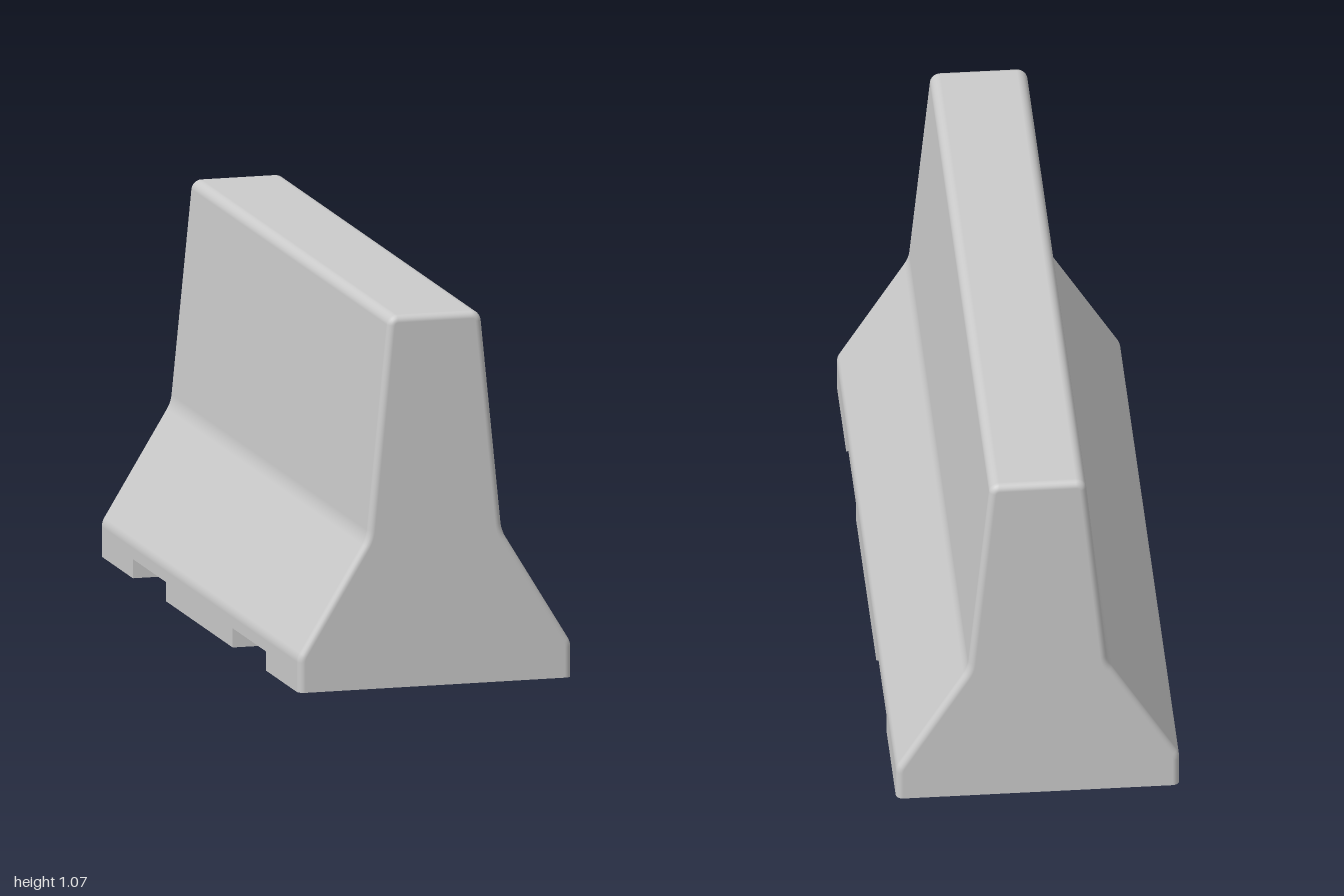
import * as THREE from 'three';

const END_RADIUS = 0.02, SLOT_HEIGHT = 0.055;

// Half outline from the foot up to the top centre: [x, y, corner radius]
const corners = [[0.4, 0, 0], [0.4, 0.1, 0.05], [0.198, 0.432, 0.1], [0.135, 1.067, 0.03], [0, 1.067, 0]];

// Full outline, counter-clockwise, with filleted corners and outward normals
function outline() {
  const half = [{ x: 0.4, y: 0, nx: 1, ny: 0 }];
  const normalAngle = (a, b) => Math.atan2(a[0] - b[0], b[1] - a[1]);
  for (let i = 1; i < corners.length - 1; i++) {
    const [x, y, r] = corners[i];
    const a1 = normalAngle(corners[i - 1], corners[i]);
    const a2 = normalAngle(corners[i], corners[i + 1]);
    const s = r * Math.sign(a2 - a1), mid = (a1 + a2) / 2, k = s / Math.cos((a2 - a1) / 2);
    const cx = x - Math.cos(mid) * k, cy = y - Math.sin(mid) * k;
    for (let j = 0; j <= 6; j++) {
      const a = a1 + (a2 - a1) * j / 6, nx = Math.cos(a), ny = Math.sin(a);
      half.push({ x: cx + s * nx, y: cy + s * ny, nx, ny });
    }
  }
  const mirrored = half.map(p => ({ ...p, x: -p.x, nx: -p.nx })).reverse();
  return [...half, ...mirrored];
}

// Cross-section stations along z: rounded ends and two slots under the base
function stations() {
  const list = [], steps = 5;
  const end = side => {
    for (let i = 0; i <= steps; i++) {
      const t = (side < 0 ? i - steps : i) / steps * Math.PI / 2;
      list.push({ z: side * (1 - END_RADIUS) + END_RADIUS * Math.sin(t), t, floor: 0 });
    }
  };
  end(-1);
  for (const [z0, z1] of [[-0.67, -0.335], [0.335, 0.67]]) {
    for (const [z, floor] of [[z0, 0], [z0, SLOT_HEIGHT], [z1, SLOT_HEIGHT], [z1, 0]]) {
      list.push({ z, t: 0, floor });
    }
  }
  end(1);
  return list;
}

function barrierGeometry() {
  const profile = outline(), last = profile.length - 1;
  const rings = stations().map(({ z, t, floor }) => profile.map((p, i) => {
    const inset = END_RADIUS * (1 - Math.cos(t));
    const y = i === 0 || i === last ? floor : p.y - p.ny * inset;
    return {
      p: new THREE.Vector3(p.x - p.nx * inset, y, z),
      n: new THREE.Vector3(p.nx * Math.cos(t), p.ny * Math.cos(t), Math.sin(t)),
    };
  }));
  const position = [], normal = [];
  const tri = (a, b, c, flat) => {
    for (const v of [a, b, c]) {
      position.push(...v.p.toArray());
      normal.push(...(flat || v.n).toArray());
    }
  };
  const quad = (a, b, c, d, flat) => { tri(a, b, c, flat); tri(a, c, d, flat); };

  for (let s = 0; s < rings.length - 1; s++) {
    const A = rings[s], B = rings[s + 1];
    // Sloped sides and top
    if (B[0].p.z > A[0].p.z) {
      for (let i = 0; i < last; i++) quad(A[i], A[i + 1], B[i + 1], B[i]);
    }
    // Underside and slot walls
    const across = A[0].p.clone().sub(A[last].p), along = B[0].p.clone().sub(A[0].p);
    quad(A[last], A[0], B[0], B[last], across.cross(along).normalize());
  }

  // Flat end faces
  const back = rings[0], front = rings[rings.length - 1];
  const faces = THREE.ShapeUtils.triangulateShape(front.map(v => new THREE.Vector2(v.p.x, v.p.y)), []);
  for (const [a, b, c] of faces) {
    tri(front[a], front[b], front[c], new THREE.Vector3(0, 0, 1));
    tri(back[a], back[c], back[b], new THREE.Vector3(0, 0, -1));
  }

  const geometry = new THREE.BufferGeometry();
  geometry.setAttribute('position', new THREE.Float32BufferAttribute(position, 3));
  geometry.setAttribute('normal', new THREE.Float32BufferAttribute(normal, 3));
  return geometry;
}

export function createModel() {
  const group = new THREE.Group();
  group.name = 'roadBarrier';
  const body = new THREE.Mesh(barrierGeometry(), new THREE.MeshStandardMaterial({ color: 0xcccccc }));
  body.name = 'concreteBody';
  group.add(body);
  return group;
}
